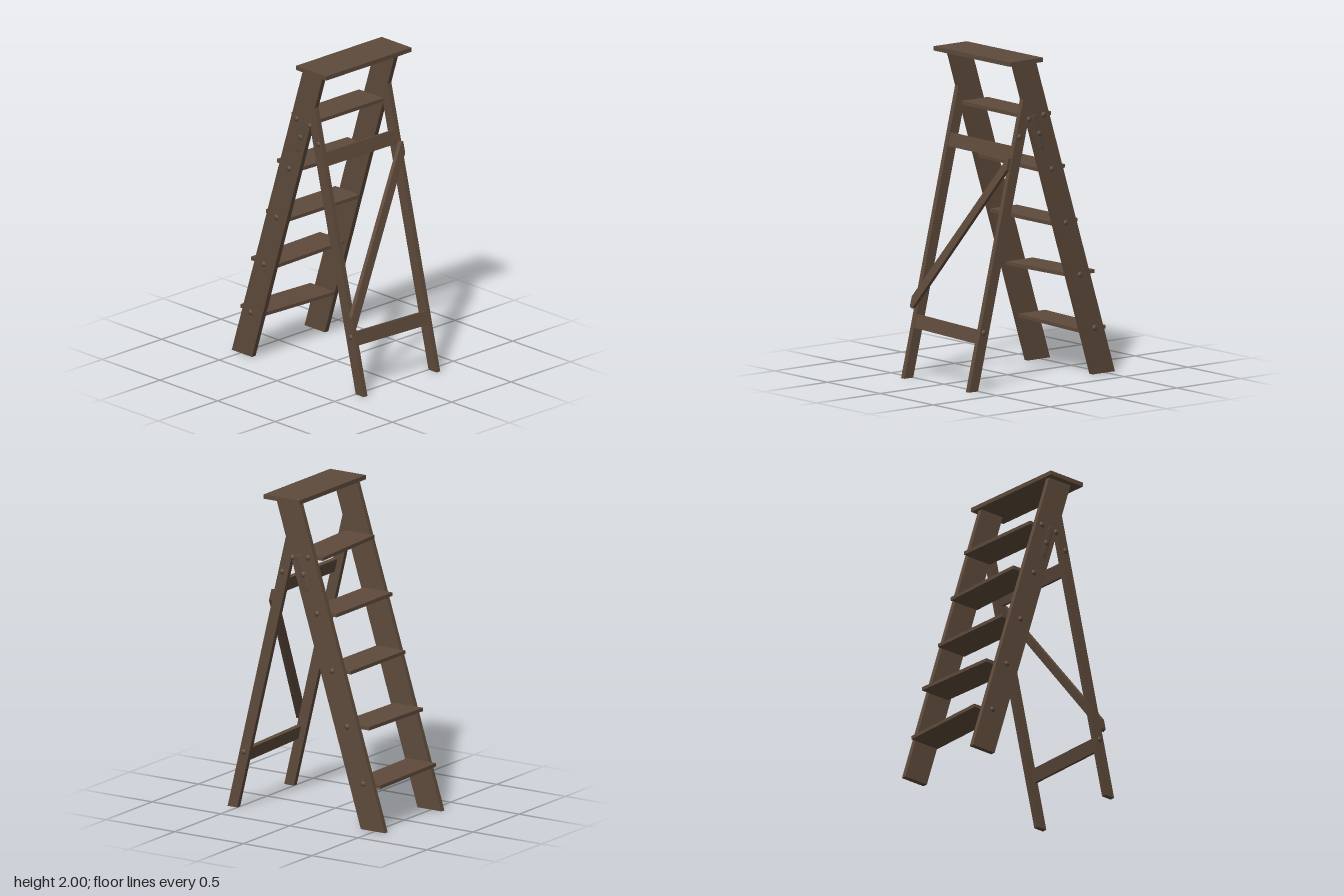
import * as THREE from 'three';

export function createModel() {
  const model = new THREE.Group();
  model.name = 'stepladder';
  const wood = new THREE.MeshStandardMaterial({ color: 0x5e4a3b });
  wood.name = 'dark wood';
  const metal = new THREE.MeshStandardMaterial({ color: 0x594a3e });
  metal.name = 'worn metal';

  const add = (name, geometry, material = wood) => {
    const mesh = new THREE.Mesh(geometry, material);
    mesh.name = name;
    model.add(mesh);
    return mesh;
  };
  // Flat board: an outline in x, y extruded along z
  const board = (points, depth) => new THREE.ExtrudeGeometry(
    new THREE.Shape(points.map(([x, y]) => new THREE.Vector2(x, y))),
    { depth, bevelEnabled: false });

  // Top platform
  add('topPlatform', new THREE.BoxGeometry(0.26, 0.027, 0.72)).position.set(0.152, 1.9865, 0);

  // Treads, each slightly out of true: x, y, tilt, twist
  const treads = [
    [-0.425, 0.28, -0.02, -0.017],
    [-0.335, 0.622, 0.015, 0],
    [-0.205, 0.957, 0, -0.008],
    [-0.107, 1.303, -0.012, -0.025],
    [0.012, 1.64, -0.015, 0.025],
  ];
  for (const [x, y, tilt, twist] of treads) {
    const tread = add('tread', new THREE.BoxGeometry(0.21, 0.022, 0.582));
    tread.position.set(x, y, 0);
    tread.rotation.set(tilt, twist, 0);
  }

  // Stiles, rear legs, hinge straps and bolts on both sides
  const stile = [[-0.575, 0], [-0.4, 0], [0.216, 1.975], [0.045, 1.975]];
  const leg = [[0.5, 0], [0.57, 0], [0.146, 1.75], [0.105, 1.62]];
  const bolts = [[-0.415, 0.285], [-0.3, 0.625], [-0.19, 0.957], [-0.08, 1.3], [-0.015, 1.64],
    [0.02, 1.53], [0.1, 1.625], [0.175, 1.525], [0.455, 0.355]];
  for (const side of [1, -1]) {
    add('stile', board(stile, 0.031)).position.z = side * 0.3065 - 0.0155;
    add('rearLeg', board(leg, 0.031)).position.z = side * 0.3065 - 0.0155;
    const strap = add('hingeStrap', new THREE.CapsuleGeometry(0.024, 0.19, 4, 12), metal);
    strap.scale.z = 0.15;
    strap.position.set(0.027, 1.54, side * 0.321);
    strap.rotation.z = -0.3;
    for (const [x, y] of bolts) {
      const bolt = add('bolt', new THREE.SphereGeometry(0.018, 12, 8));
      bolt.scale.z = 0.65;
      bolt.position.set(x, y, side * 0.321);
    }
  }

  // Rear crossbars following the lean of the legs
  for (const [x, y, tilt] of [[0.47, 0.334, -0.03], [0.206, 1.426, -0.008]]) {
    const bar = add('rearCrossbar', new THREE.BoxGeometry(0.026, 0.085, 0.582));
    bar.position.set(x, y, 0);
    bar.rotation.set(tilt, 0, 0.238);
  }

  // Diagonal brace on the rear face, outlined in -z, y and sheared to the leg lean
  const brace = board([[-0.31, 0.42], [0.315, 1.33], [0.315, 1.4], [0.3, 1.4],
    [-0.333, 0.49], [-0.333, 0.43]], 0.026);
  brace.rotateY(Math.PI / 2);
  const p = brace.attributes.position;
  for (let i = 0; i < p.count; i++) p.setX(i, p.getX(i) + 0.57 - 0.2423 * p.getY(i));
  brace.computeVertexNormals();
  add('diagonalBrace', brace);

  return model;
}
